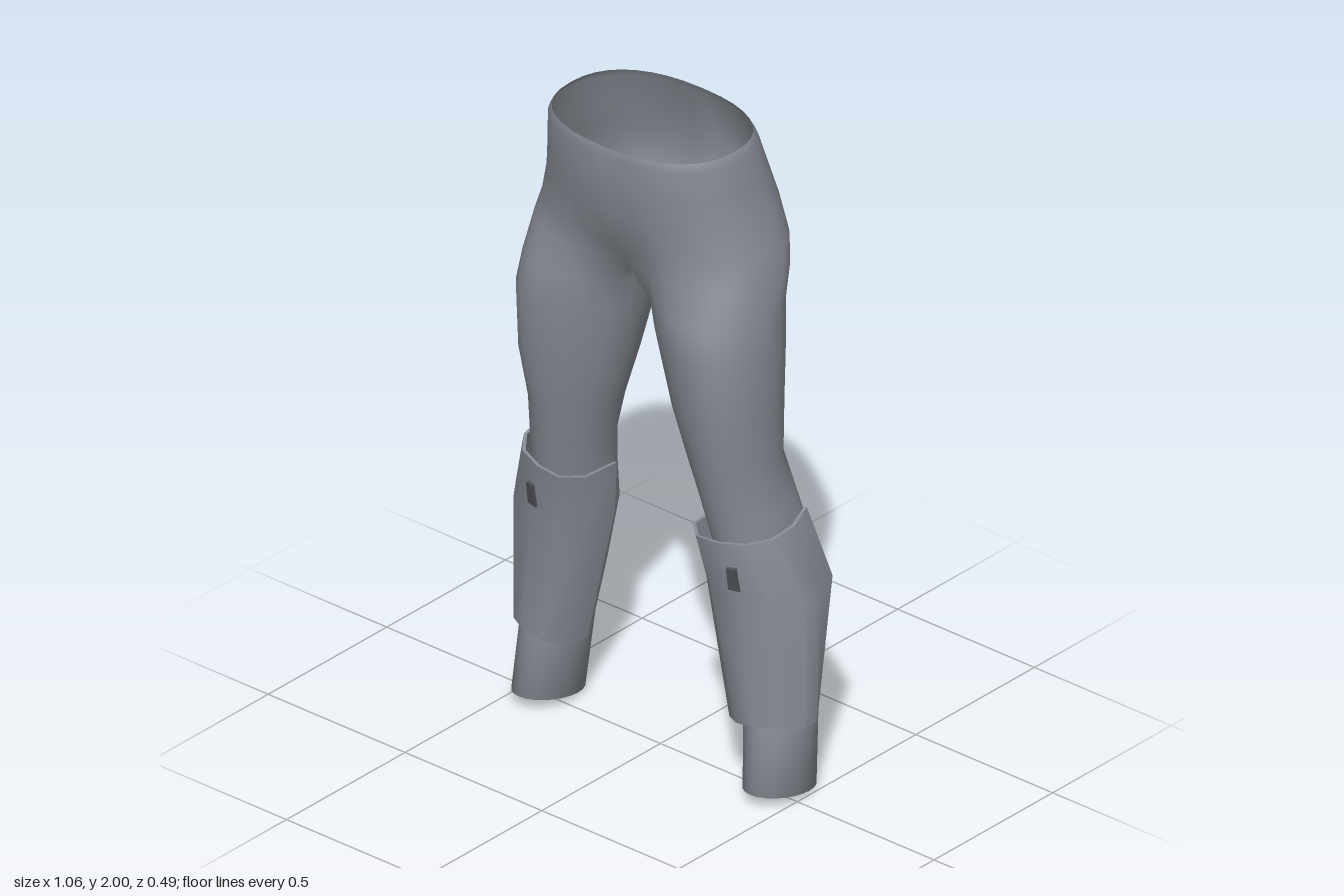
import * as THREE from 'three';
import { mergeVertices, toCreasedNormals } from 'three/addons/utils/BufferGeometryUtils.js';

const RAD = Math.PI / 180;
const OUTER = 18; // segments round the outside of a leg
const INNER = 6;  // segments along the inner thigh
const cloth = new THREE.MeshStandardMaterial({ color: 0x888d95, side: THREE.DoubleSide });
const dark = new THREE.MeshStandardMaterial({ color: 0x505358 });

const named = (name, geometry, material = cloth) => {
  const mesh = new THREE.Mesh(geometry, material);
  mesh.name = name;
  return mesh;
};

// Builds a geometry from [x, y, z] points and triangles, mirrored when side is -1
function build(points, triangles, sides) {
  const position = [], index = [];
  for (const side of sides) {
    const base = position.length / 3;
    for (const [x, y, z] of points) position.push(x * side, y, z);
    for (const [a, b, c] of triangles) {
      index.push(base + a, base + (side > 0 ? b : c), base + (side > 0 ? c : b));
    }
  }
  const geometry = new THREE.BufferGeometry();
  geometry.setAttribute('position', new THREE.Float32BufferAttribute(position, 3));
  geometry.setIndex(index);
  return geometry;
}

// Hip rows: height, half width, front z, back z, front cleft, back cleft, roundness
const HIPS = [
  [2.0, 0.3, 0.247, -0.18, 0, 0, 0.85],
  [1.975, 0.315, 0.252, -0.192, 0, 0, 0.85],
  [1.88, 0.328, 0.245, -0.225, 0, 0.01, 0.85],
  [1.78, 0.35, 0.23, -0.252, 0, 0.035, 0.85],
  [1.68, 0.378, 0.206, -0.25, 0.01, 0.045, 0.78],
  [1.6, 0.397, 0.2, -0.212, 0.05, 0.06, 0.7],
];

// Leg rows: height, inner x, outer x, front z, back z, outward shift of front and back
const LEGS = [
  [1.5, 0.018, 0.41, 0.208, -0.18, 0.04, 0],
  [1.4, 0.045, 0.42, 0.215, -0.165, 0.05, 0],
  [1.2, 0.1, 0.42, 0.195, -0.142, 0.04, 0],
  [1.03, 0.155, 0.41, 0.16, -0.125, 0.02, 0.01],
  [0.9, 0.195, 0.43, 0.135, -0.14, 0, 0.03],
  [0.78, 0.215, 0.443, 0.11, -0.165, 0, 0.04],
  [0.64, 0.235, 0.458, 0.085, -0.199, 0, 0.04],
  [0.45, 0.27, 0.485, 0.07, -0.175, 0, 0.02],
  [0.25, 0.31, 0.505, 0.075, -0.15, 0, 0],
  [0, 0.34, 0.505, 0.11, -0.14, 0, 0],
];

// Half of a hip section, from the front centre round the side to the back centre
function hipRow([y, w, zf, zb, cleftF, cleftB, round]) {
  const row = [];
  const pow = (v) => Math.sign(v) * Math.abs(v) ** round;
  const fade = [1, 0.3]; // the cleft softens away from the centre
  for (let j = 0; j <= OUTER; j++) {
    const t = (90 - (180 * j) / OUTER) * RAD;
    const z = (zf + zb) / 2 + ((zf - zb) / 2) * pow(Math.sin(t));
    const cleft = cleftB * (fade[OUTER - j] ?? 0) - cleftF * (fade[j] ?? 0);
    row.push([j % OUTER ? w * pow(Math.cos(t)) : 0, y, z + cleft]);
  }
  return row;
}

// Full leg section, starting at the inner front; the lowest one is raised at the front
function legRow([y, xi, xo, zf, zb, shiftF, shiftB]) {
  const row = [];
  const rise = y === 0 ? 0.04 : 0;
  for (let j = 0; j < OUTER + INNER; j++) {
    const t = (135 - (360 * j) / (OUTER + INNER)) * RAD;
    const s = Math.sin(t);
    row.push([
      (xi + xo) / 2 + ((xo - xi) / 2) * Math.cos(t) + (s > 0 ? shiftF : shiftB) * s * s,
      y + rise * (0.5 + 0.5 * s),
      (zf + zb) / 2 + ((zf - zb) / 2) * s,
    ]);
  }
  return row;
}

function trousersGeometry() {
  const rows = HIPS.map(hipRow);
  // Close the last hip row with a dipping seam between the legs
  const crotch = rows[rows.length - 1];
  const zFront = crotch[0][2], zBack = crotch[OUTER][2];
  for (let k = 1; k < INNER; k++) {
    const f = k / INNER;
    crotch.push([0, 1.6 - 0.045 * Math.sin(f * Math.PI), zBack + (zFront - zBack) * f]);
  }
  rows.push(...LEGS.map(legRow));

  const triangles = [];
  const ring = OUTER + INNER;
  let base = 0;
  for (let i = 0; i < rows.length - 1; i++) {
    const next = base + rows[i].length;
    const closed = i >= HIPS.length - 1;
    const count = closed ? ring : OUTER;
    for (let j = 0; j < count; j++) {
      const k = closed ? (j + 1) % count : j + 1;
      triangles.push([base + j, next + j, base + k], [base + k, next + j, next + k]);
    }
    base = next;
  }
  // Slightly hollow end at the ankle
  for (let j = 0; j < ring; j++) triangles.push([base + ring, base + ((j + 1) % ring), base + j]);
  rows.push([[0.4225, 0.03, -0.015]]);

  const geometry = mergeVertices(build(rows.flat(), triangles, [1, -1]), 1e-4);
  geometry.computeVertexNormals();
  return geometry;
}

// Shin guard rows, each from the outer back edge round the front to the inner edge
const GUARD = [
  [[0.44, 0.865, -0.11], [0.466, 0.85, -0.03], [0.456, 0.835, 0.05], [0.41, 0.825, 0.11],
    [0.33, 0.815, 0.137], [0.25, 0.81, 0.14], [0.195, 0.81, 0.09], [0.185, 0.81, -0.03]],
  [[0.495, 0.65, -0.155], [0.532, 0.64, -0.06], [0.528, 0.64, 0], [0.47, 0.64, 0.078],
    [0.38, 0.64, 0.108], [0.28, 0.64, 0.108], [0.22, 0.64, 0.06], [0.21, 0.64, -0.05]],
  [[0.49, 0.24, -0.1], [0.528, 0.24, -0.05], [0.522, 0.24, 0], [0.48, 0.25, 0.065],
    [0.42, 0.25, 0.098], [0.36, 0.24, 0.097], [0.3, 0.22, 0.055], [0.293, 0.215, -0.03]],
];

function guardGeometry(side) {
  const n = GUARD[0].length, loop = 2 * n, triangles = [];
  const points = GUARD.flatMap((row) => {
    const cx = (row[1][0] + row[n - 1][0]) / 2;
    // Inner skin, moved toward the shin
    const inside = row.map(([x, y, z]) => {
      const d = Math.hypot(x - cx, z);
      return [x - (0.01 * (x - cx)) / d, y, z - (0.01 * z) / d];
    });
    return [...row, ...inside.reverse()];
  });
  for (let i = 0; i < GUARD.length - 1; i++) {
    for (let j = 0; j < loop; j++) {
      const a = i * loop + j, b = i * loop + ((j + 1) % loop);
      triangles.push([a, b, a + loop], [b, b + loop, a + loop]);
    }
  }
  // Top and bottom rims
  const last = (GUARD.length - 1) * loop;
  for (let j = 0; j < n - 1; j++) {
    const k = loop - 1 - j;
    triangles.push([j, k, j + 1], [j + 1, k, k - 1]);
    triangles.push([last + j, last + j + 1, last + k], [last + j + 1, last + k - 1, last + k]);
  }
  return toCreasedNormals(build(points, triangles, [side]), 1.1);
}

// Small tapered slot on the front of the guard
function slotGeometry(side) {
  const outline = [[-0.014, 0.037], [0.014, 0.037], [0.02, -0.037], [-0.016, -0.037]];
  const shape = new THREE.Shape(outline.map(([x, y]) => new THREE.Vector2(x * side, y)));
  return new THREE.ExtrudeGeometry(shape, { depth: 0.012, bevelEnabled: false });
}

export function createModel() {
  const model = new THREE.Group();
  model.name = 'armouredTrousers';
  model.add(named('trousers', trousersGeometry()));
  for (const side of [1, -1]) {
    const shin = new THREE.Group();
    shin.name = side > 0 ? 'leftShin' : 'rightShin';
    const slot = named('guardSlot', slotGeometry(side), dark);
    slot.position.set(0.365 * side, 0.708, 0.112);
    slot.rotation.set(0.17, 0.22 * side, 0);
    shin.add(named('shinGuard', guardGeometry(side)), slot);
    model.add(shin);
  }
  return model;
}
